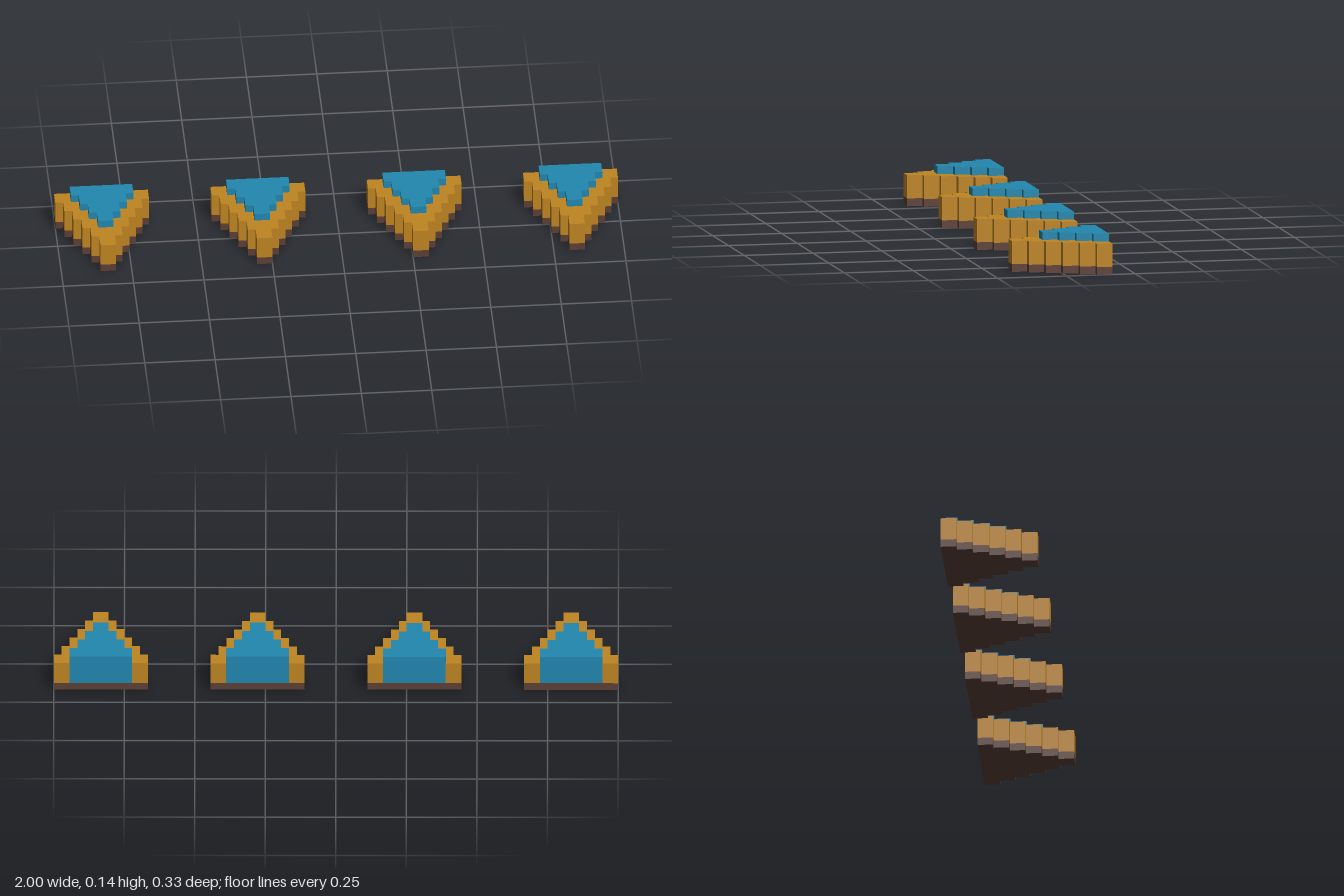
import * as THREE from 'three';

const U = 1 / 18; // one step of the stair outline
const BACK = 3 * U;

// Stepped triangle outline: back right corner, down to the front tip, up to back left
function steppedOutline(rows) {
  const right = [];
  for (let i = 0; i < rows; i++) {
    const half = (rows - i) * U / 2;
    right.push(new THREE.Vector2(half, BACK - i * U), new THREE.Vector2(half, BACK - (i + 1) * U));
  }
  const left = right.map(p => new THREE.Vector2(-p.x, p.y)).reverse();
  return [...right, ...left];
}

// Upright slab from a plan outline
function slab(points, y0, y1) {
  const geometry = new THREE.ExtrudeGeometry(new THREE.Shape(points), { depth: y1 - y0, bevelEnabled: false });
  return geometry.rotateX(-Math.PI / 2).translate(0, y0, 0);
}

function flatMaterial(name, color) {
  const material = new THREE.MeshStandardMaterial({ color });
  material.name = name;
  return material;
}

export function createModel() {
  const outer = steppedOutline(6);
  const inner = steppedOutline(4);
  const parts = [
    ['base', slab(outer, 0, U / 2), flatMaterial('darkBrown', 0x5d4037)],
    // V-shaped rim, open at the back
    ['rim', slab([...outer, ...inner.slice().reverse()], U / 2, 2 * U), flatMaterial('gold', 0xbf8522)],
    ['core', slab(inner, U / 2, 2.5 * U), flatMaterial('blue', 0x2288b0)],
  ];

  // Four identical wedges in a row
  const model = new THREE.Group();
  model.name = 'wedgeRow';
  for (let i = 0; i < 4; i++) {
    const wedge = new THREE.Group();
    wedge.name = 'wedge' + (i + 1);
    wedge.position.x = (i - 1.5) * 10 * U;
    for (const [name, geometry, material] of parts) {
      const mesh = new THREE.Mesh(geometry, material);
      mesh.name = name;
      wedge.add(mesh);
    }
    model.add(wedge);
  }
  return model;
}
